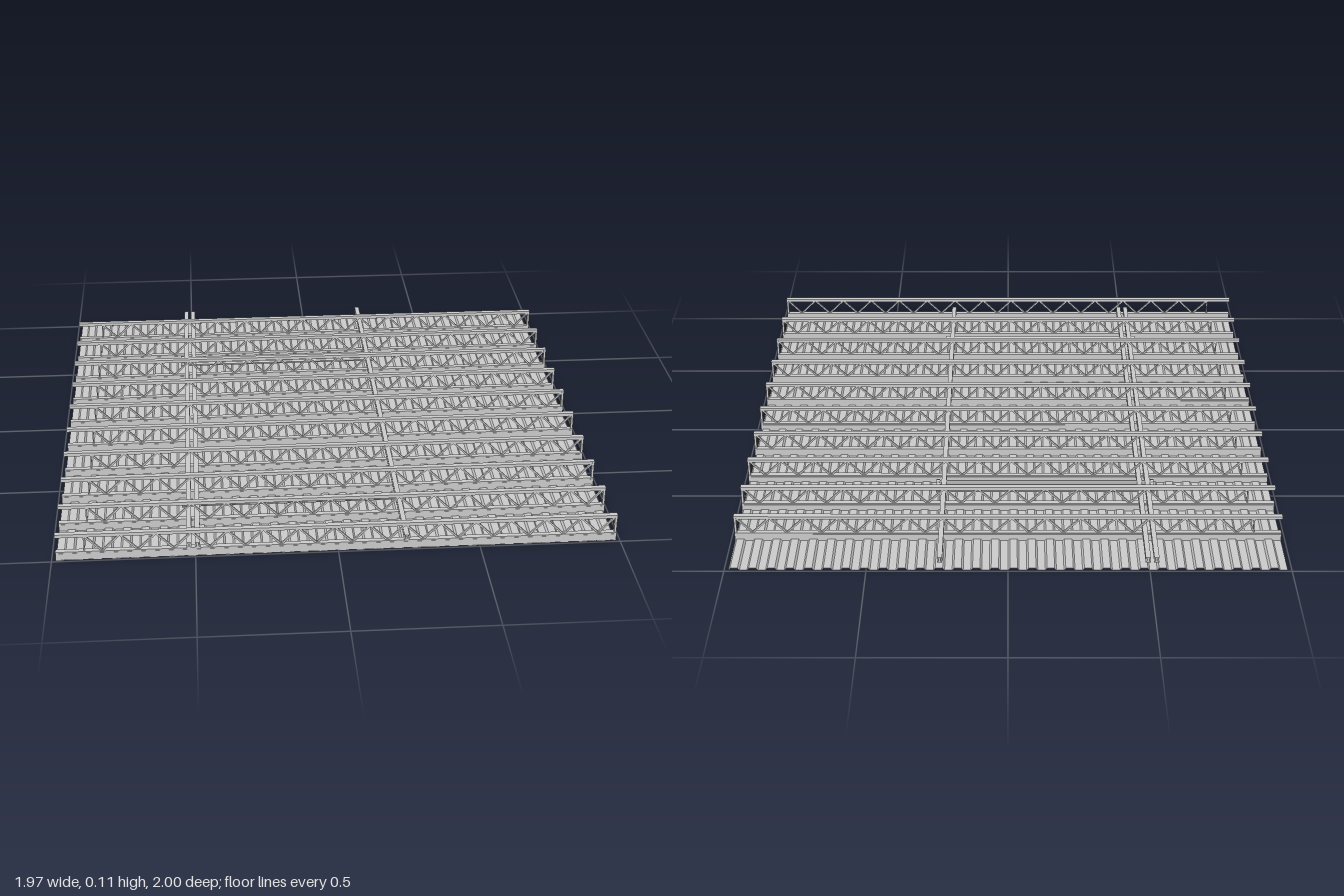
import * as THREE from 'three';

const mat = new THREE.MeshStandardMaterial({ color: 0xcccccc, flatShading: true });
const HALF = 0.985;

function add(parent, name, geo, x = 0, y = 0, z = 0) {
  const m = new THREE.Mesh(geo, mat);
  m.name = name;
  m.position.set(x, y, z);
  parent.add(m);
  return m;
}

const box = (p, name, sx, sy, sz, x, y, z) => add(p, name, new THREE.BoxGeometry(sx, sy, sz), x, y, z);

// flat bar running between two points in the truss plane
function bar(p, name, x0, y0, x1, y1, w, d, z = 0) {
  const len = Math.hypot(x1 - x0, y1 - y0);
  const m = box(p, name, len, w, d, (x0 + x1) / 2, (y0 + y1) / 2, z);
  m.rotation.z = Math.atan2(y1 - y0, x1 - x0);
}

// corrugated sheet: trapezoidal ribs running front to back
function corrugatedDeck() {
  const n = 30, pitch = (2 * HALF) / n, h = 0.008, t = 0.002;
  const pts = [];
  for (let i = 0; i < n; i++) {
    const x = -HALF + i * pitch;
    pts.push([x, 0], [x + pitch * 0.4, 0], [x + pitch * 0.5, h], [x + pitch * 0.9, h]);
  }
  pts.push([HALF, 0]);
  const outline = pts.map(([x, y]) => new THREE.Vector2(x, y));
  for (const [x, y] of pts.slice().reverse()) outline.push(new THREE.Vector2(x, y + t));
  const geo = new THREE.ExtrudeGeometry(new THREE.Shape(outline), { depth: 1.99, bevelEnabled: false });
  geo.translate(0, 0, -0.995);
  return geo;
}

// pair of angle sections back to back, along x; dir = 1 puts the flange on top
function anglePair(p, name, y, dir) {
  box(p, name + 'Flange', 2 * HALF, 0.004, 0.02, 0, y, 0);
  for (const s of [-1, 1]) box(p, name + 'Leg', 2 * HALF, 0.012, 0.004, 0, y - dir * 0.006, s * 0.005);
}

function createTruss() {
  const g = new THREE.Group();
  g.name = 'truss';
  anglePair(g, 'topChord', 0.104, 1);
  anglePair(g, 'bottomChord', 0.035, 1);
  // rail carrying the deck
  box(g, 'deckRail', 2 * HALF, 0.026, 0.016, 0, 0.017, 0);
  // zigzag web
  const step = 0.1245, top = 0.095, low = 0.034;
  for (let i = 0; i < 15; i++) {
    const x = -0.885 + i * step;
    bar(g, 'webDiagonal', x, top, x + step / 2, low, 0.006, 0.008);
    if (i < 14) bar(g, 'webDiagonal', x + step / 2, low, x + step, top, 0.006, 0.008);
  }
  bar(g, 'webDiagonal', 0.92, low, 0.978, top, 0.006, 0.008);
  // end uprights
  box(g, 'innerPost', 0.005, 0.066, 0.008, -0.885, 0.066, 0);
  box(g, 'endPost', 0.008, 0.102, 0.016, 0.98, 0.053, 0);
  return g;
}

export function createModel() {
  const model = new THREE.Group();
  model.name = 'trussDeck';

  add(model, 'corrugatedDeck', corrugatedDeck());

  for (let i = 0; i < 10; i++) {
    const t = createTruss();
    t.position.z = -0.8 + i * 0.1988;
    model.add(t);
  }

  // long bearers crossing the trusses
  for (const x of [-0.522, -0.492, 0.24]) {
    const g = new THREE.Group();
    g.name = 'bearer';
    g.position.x = x;
    model.add(g);
    box(g, 'bearerTop', 0.018, 0.004, 2, 0, 0.056, 0);
    box(g, 'bearerWeb', 0.008, 0.018, 2, 0, 0.047, 0);
    box(g, 'bearerBottom', 0.018, 0.004, 2, 0, 0.039, 0);
  }

  // tie rails between the bearers, with collars at their ends
  for (const z of [-0.527, -0.48, 0.71]) {
    const rail = add(model, 'tieRail', new THREE.CylinderGeometry(0.01, 0.01, 0.81, 8), -0.14, 0.047, z);
    rail.rotation.z = Math.PI / 2;
    for (const x of [-0.54, 0.262]) {
      const c = add(model, 'tieCollar', new THREE.CylinderGeometry(0.013, 0.013, 0.012, 8), x, 0.047, z);
      c.rotation.z = Math.PI / 2;
    }
  }
  return model;
}
